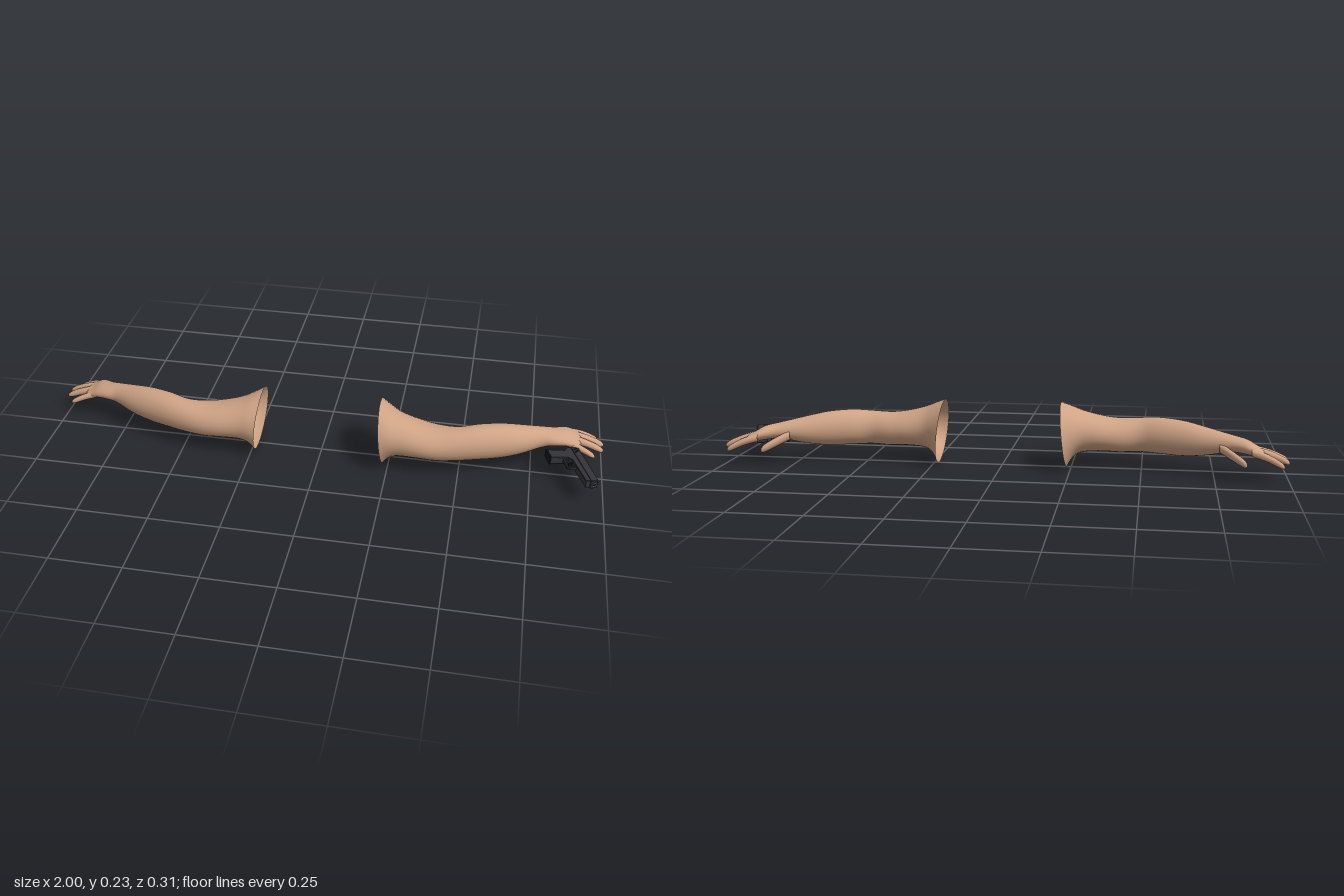
import * as THREE from 'three';

const skin = new THREE.MeshStandardMaterial({ name: 'skin', color: 0xcfa385, side: THREE.DoubleSide });
const steel = new THREE.MeshStandardMaterial({ name: 'slide steel', color: 0x55585c });
const polymer = new THREE.MeshStandardMaterial({ name: 'dark polymer', color: 0x34343a });
const black = new THREE.MeshStandardMaterial({ name: 'black', color: 0x17171a });

// Smooth interpolation between neighbouring cross-sections
function refine(stations, steps) {
  const out = [];
  const n = stations.length;
  const at = (i) => stations[Math.min(n - 1, Math.max(0, i))];
  for (let i = 0; i < n - 1; i++) {
    for (let s = 0; s < steps; s++) {
      const t = s / steps;
      out.push(at(i).map((b, k) => {
        const a = at(i - 1)[k], c = at(i + 1)[k], d = at(i + 2)[k];
        return b + 0.5 * t * (c - a + t * (2 * a - 5 * b + 4 * c - d + t * (3 * (b - c) + d - a)));
      }));
    }
  }
  out.push(at(n - 1));
  return out;
}

// Skin over oval rings [x, y, z, halfHeight, halfDepth, skew] that follow the x axis
function loft(stations, sides, steps, side) {
  const rings = refine(stations, steps);
  const pos = [], index = [];
  rings.forEach(([x, y, z, ry, rz, skew = 0]) => {
    for (let j = 0; j < sides; j++) {
      const a = (j / sides) * Math.PI * 2;
      const h = Math.max(0.0002, ry), d = Math.max(0.0002, rz);
      pos.push(side * (x - skew * Math.sin(a)), y + h * Math.sin(a), z + d * Math.cos(a));
    }
  });
  for (let i = 0; i < rings.length - 1; i++) {
    for (let j = 0; j < sides; j++) {
      const a = i * sides + j, b = i * sides + (j + 1) % sides;
      const c = a + sides, d = b + sides;
      if (side > 0) index.push(a, c, b, b, c, d);
      else index.push(a, b, c, b, d, c);
    }
  }
  const g = new THREE.BufferGeometry();
  g.setAttribute('position', new THREE.Float32BufferAttribute(pos, 3));
  g.setIndex(index);
  g.computeVertexNormals();
  return g;
}

// Flared upper arm, elbow, forearm, wrist and palm
const ARM = [
  [0.222, 0.120, 0.008, 0.117, 0.114, 0.012],
  [0.250, 0.130, 0.022, 0.093, 0.098, 0.006],
  [0.290, 0.129, 0.033, 0.075, 0.084, 0],
  [0.360, 0.122, 0.040, 0.064, 0.078, 0],
  [0.420, 0.117, 0.043, 0.062, 0.069, 0],
  [0.490, 0.120, 0.042, 0.062, 0.056, 0],
  [0.560, 0.123, 0.022, 0.065, 0.058, 0],
  [0.640, 0.121, -0.004, 0.063, 0.057, 0],
  [0.710, 0.119, -0.028, 0.052, 0.052, 0],
  [0.780, 0.120, -0.055, 0.036, 0.041, 0],
  [0.820, 0.119, -0.066, 0.028, 0.044, 0],
  [0.860, 0.113, -0.083, 0.025, 0.050, 0],
  [0.890, 0.103, -0.093, 0.019, 0.049, 0],
  [0.912, 0.098, -0.096, 0.012, 0.042, 0],
  [0.922, 0.096, -0.097, 0, 0, 0],
];

// Digits: base, middle and tip points, then radius
const DIGITS = {
  indexFinger: [[0.870, 0.104, -0.129], [0.925, 0.088, -0.143], [0.980, 0.061, -0.157], 0.0135],
  middleFinger: [[0.870, 0.108, -0.106], [0.935, 0.094, -0.112], [1.000, 0.068, -0.118], 0.0140],
  ringFinger: [[0.870, 0.108, -0.082], [0.935, 0.094, -0.081], [0.998, 0.070, -0.079], 0.0135],
  littleFinger: [[0.855, 0.106, -0.062], [0.915, 0.091, -0.049], [0.968, 0.070, -0.036], 0.0120],
  thumb: [[0.765, 0.108, -0.080], [0.815, 0.083, -0.120], [0.857, 0.060, -0.146], 0.0165],
};

function digitStations([base, mid, tip, r]) {
  const curve = new THREE.CatmullRomCurve3([base, mid, tip].map((p) => new THREE.Vector3(...p)));
  return [[0, 1], [0.25, 1.05], [0.5, 1], [0.75, 0.93], [0.88, 0.82], [0.95, 0.6], [0.985, 0.34], [1, 0]]
    .map(([t, k]) => {
      const p = curve.getPoint(t);
      return [p.x, p.y, p.z, r * k, r * k];
    });
}

function makeArm(side) {
  const arm = new THREE.Group();
  arm.name = side > 0 ? 'leftArm' : 'rightArm';
  const add = (geometry, name) => {
    const mesh = new THREE.Mesh(geometry, skin);
    mesh.name = name;
    arm.add(mesh);
  };
  add(loft(ARM, 28, 4, side), 'armAndPalm');
  for (const [name, digit] of Object.entries(DIGITS)) {
    add(loft(digitStations(digit), 12, 2, side), name);
  }
  return arm;
}

// Pistol drawn upright: x forward, y up, z across
function makePistol() {
  const pistol = new THREE.Group();
  pistol.name = 'pistol';
  const add = (geometry, material, name, x = 0, y = 0, z = 0) => {
    const mesh = new THREE.Mesh(geometry, material);
    mesh.name = name;
    mesh.position.set(x, y, z);
    pistol.add(mesh);
    return mesh;
  };
  const box = (w, h, d) => new THREE.BoxGeometry(w, h, d);
  const profile = (points, depth, hole) => {
    const shape = new THREE.Shape(points.map((p) => new THREE.Vector2(...p)));
    if (hole) shape.holes.push(new THREE.Path(hole.map((p) => new THREE.Vector2(...p))));
    const g = new THREE.ExtrudeGeometry(shape, {
      depth: depth - 0.004, bevelEnabled: true, bevelThickness: 0.002, bevelSize: 0.0015, bevelSegments: 1,
    });
    return g.translate(0, 0, -(depth - 0.004) / 2);
  };

  // Slide with a lighter top, port and rear grooves
  add(profile([[-0.099, -0.002], [0.099, -0.002], [0.099, 0.018], [0.095, 0.021], [-0.099, 0.021]], 0.033),
    polymer, 'slide');
  add(box(0.19, 0.002, 0.026), steel, 'slideTop', -0.002, 0.0225);
  add(box(0.042, 0.001, 0.022), black, 'portFrame', -0.035, 0.0235);
  add(box(0.039, 0.001, 0.019), steel, 'ejectionPort', -0.035, 0.0239);
  for (let i = 0; i < 6; i++) {
    add(box(0.002, 0.017, 0.0345), black, 'slideGroove', -0.092 + i * 0.005, 0.009);
  }
  add(box(0.006, 0.004, 0.004), black, 'frontSight', 0.088, 0.025);
  add(box(0.007, 0.004, 0.014), black, 'rearSight', -0.09, 0.025);

  // Frame, raked grip and trigger guard
  add(profile([[-0.098, -0.003], [0.094, -0.003], [0.094, -0.018], [-0.03, -0.020], [-0.045, -0.032],
    [-0.056, -0.087], [-0.1, -0.087], [-0.086, -0.028], [-0.101, -0.013]], 0.029), polymer, 'frameAndGrip');
  add(profile([[-0.05, -0.017], [0.006, -0.017], [0.001, -0.042], [-0.008, -0.049], [-0.05, -0.047]], 0.012,
    [[-0.042, -0.02], [-0.044, -0.042], [-0.010, -0.044], [-0.004, -0.039], [0, -0.02]]), polymer, 'triggerGuard');
  add(box(0.004, 0.02, 0.007), black, 'trigger', -0.024, -0.029).rotation.z = 0.25;
  add(box(0.05, 0.005, 0.031), black, 'magazineBase', -0.078, -0.091);

  // Muzzle
  const barrel = new THREE.CylinderGeometry(0.008, 0.008, 0.006, 16).rotateZ(Math.PI / 2);
  add(barrel, steel, 'barrel', 0.1, 0.009);
  add(new THREE.CylinderGeometry(0.005, 0.005, 0.001, 16).rotateZ(Math.PI / 2), black, 'bore', 0.1033, 0.009);

  // Lay it on its side, muzzle to the front and sights outward
  const a = THREE.MathUtils.degToRad(20);
  const forward = new THREE.Vector3(Math.sin(a), 0, Math.cos(a));
  const up = new THREE.Vector3(Math.cos(a), 0, -Math.sin(a));
  pistol.quaternion.setFromRotationMatrix(
    new THREE.Matrix4().makeBasis(forward, up, new THREE.Vector3(0, 1, 0)));
  pistol.position.set(0.918, 0.081, 0.05);
  return pistol;
}

export function createModel() {
  const model = new THREE.Group();
  model.name = 'armsWithPistol';
  model.add(makeArm(1), makeArm(-1), makePistol());
  return model;
}
